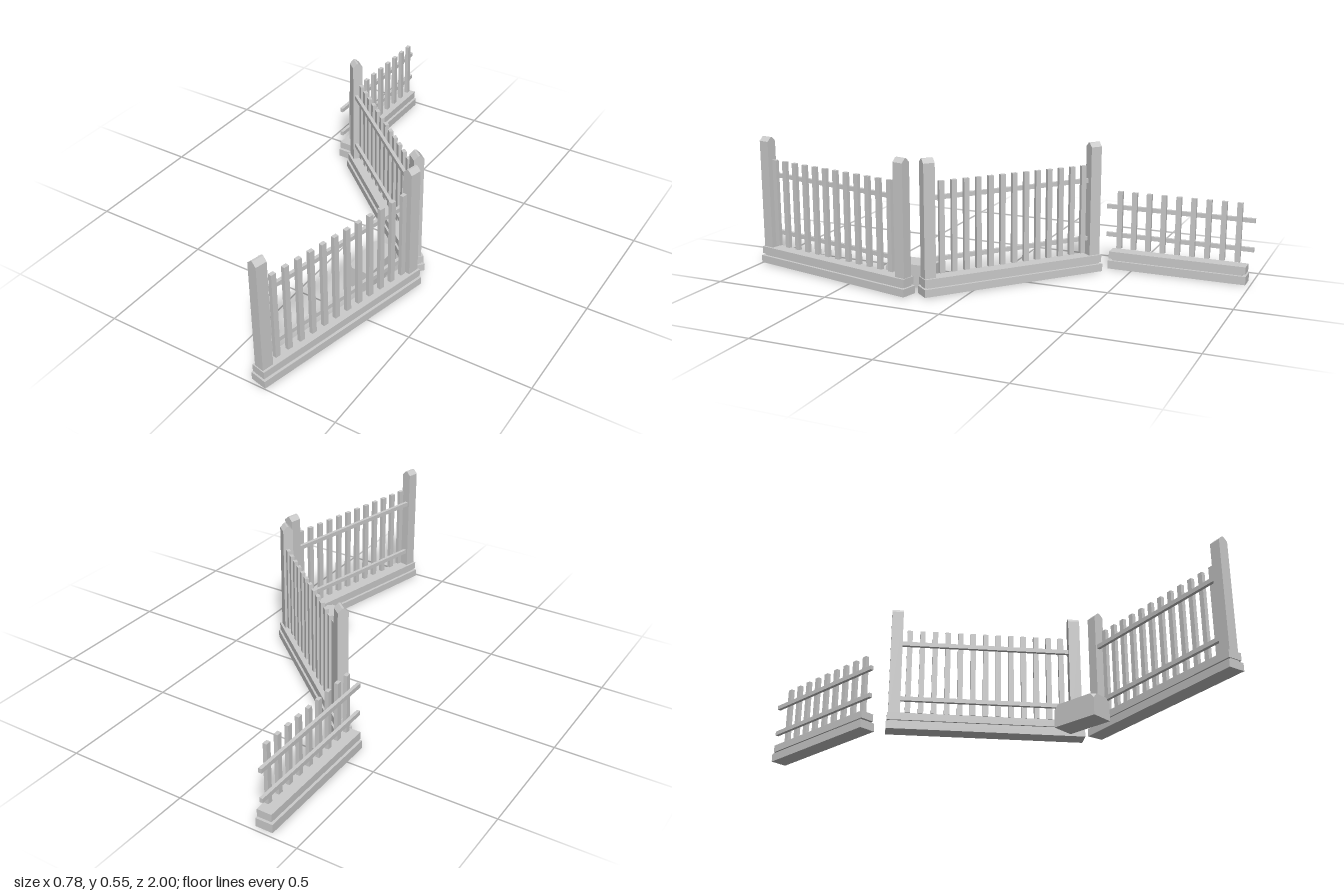
import * as THREE from 'three';
import { ConvexGeometry } from 'three/addons/geometries/ConvexGeometry.js';

const material = new THREE.MeshStandardMaterial({ color: 0xcccccc, flatShading: true });

function addMesh(parent, name, geometry, x = 0, y = 0, z = 0) {
  const mesh = new THREE.Mesh(geometry, material);
  mesh.name = name;
  mesh.position.set(x, y, z);
  parent.add(mesh);
}

// Box given by its length along the fence, its bottom and top, and its depth
function addBox(parent, name, length, bottom, top, depth, x = 0, z = 0) {
  addMesh(parent, name, new THREE.BoxGeometry(length, top - bottom, depth), x, (bottom + top) / 2, z);
}

// Post with a gabled top, extruded along the fence
function postGeometry() {
  const w = 0.021, ridge = 0.004, length = 0.048;
  const shape = new THREE.Shape([
    [-w, 0.036], [w, 0.036], [w, 0.535], [ridge, 0.552], [-ridge, 0.552], [-w, 0.535],
  ].map(([x, y]) => new THREE.Vector2(x, y)));
  const geometry = new THREE.ExtrudeGeometry(shape, { depth: length, bevelEnabled: false });
  return geometry.translate(0, 0, -length / 2).rotateY(Math.PI / 2);
}

// One fence section: local x runs along it, local +z is the rail side
function fenceSection(name, o) {
  const section = new THREE.Group();
  section.name = name;
  section.position.set(o.x, 0, o.z);
  section.rotation.y = THREE.MathUtils.degToRad(o.angle);

  // Two stacked base beams with a recessed strip between them
  addBox(section, 'lowerBase', o.length, o.ground, 0.035, 0.071);
  addBox(section, 'baseSpacer', o.length - 0.03, 0.035, 0.043, 0.047);
  addBox(section, 'upperBase', o.length - 0.006, 0.043, 0.074, 0.061);

  for (const y of o.rails) addBox(section, 'rail', o.railLength, y - 0.009, y + 0.009, 0.014, 0, 0.007);

  for (let i = 0; i < o.pickets; i++) {
    const x = (i - (o.pickets - 1) / 2) * o.spacing;
    addBox(section, 'picket', 0.022, 0.088, o.picketTop, 0.016, x, -0.008);
  }

  if (o.posts) for (const side of [-1, 1]) addMesh(section, 'post', postGeometry(), side * 0.374);
  return section;
}

// Loose block with its four upper corners cut off
function blockGeometry() {
  const w = 0.049, d = 0.101, cut = 0.018, shoulder = 0.072, top = 0.094;
  const points = [];
  for (const sx of [-1, 1]) {
    for (const sz of [-1, 1]) {
      points.push(
        new THREE.Vector3(sx * w, 0, sz * d),
        new THREE.Vector3(sx * w, shoulder, sz * d),
        new THREE.Vector3(sx * (w - cut), top, sz * d),
        new THREE.Vector3(sx * w, top, sz * (d - cut)),
      );
    }
  }
  return new ConvexGeometry(points);
}

export function createModel() {
  const model = new THREE.Group();
  model.name = 'fence';

  const tall = {
    length: 0.81, ground: 0.003, rails: [0.144, 0.392], railLength: 0.7, picketTop: 0.46, posts: true,
  };
  model.add(
    fenceSection('frontSection', { ...tall, x: 0.262, z: 0.597, angle: -103, pickets: 12, spacing: 0.0583 }),
    fenceSection('middleSection', { ...tall, x: 0.026, z: -0.103, angle: -40, pickets: 13, spacing: 0.0532 }),
    fenceSection('lowBackSection', {
      x: -0.352, z: -0.688, angle: -90, length: 0.585, ground: 0, rails: [0.141, 0.263],
      railLength: 0.625, pickets: 9, spacing: 0.0627, picketTop: 0.335, posts: false,
    }),
  );

  addMesh(model, 'looseBlock', blockGeometry(), 0.196, 0, 0.264);
  return model;
}
